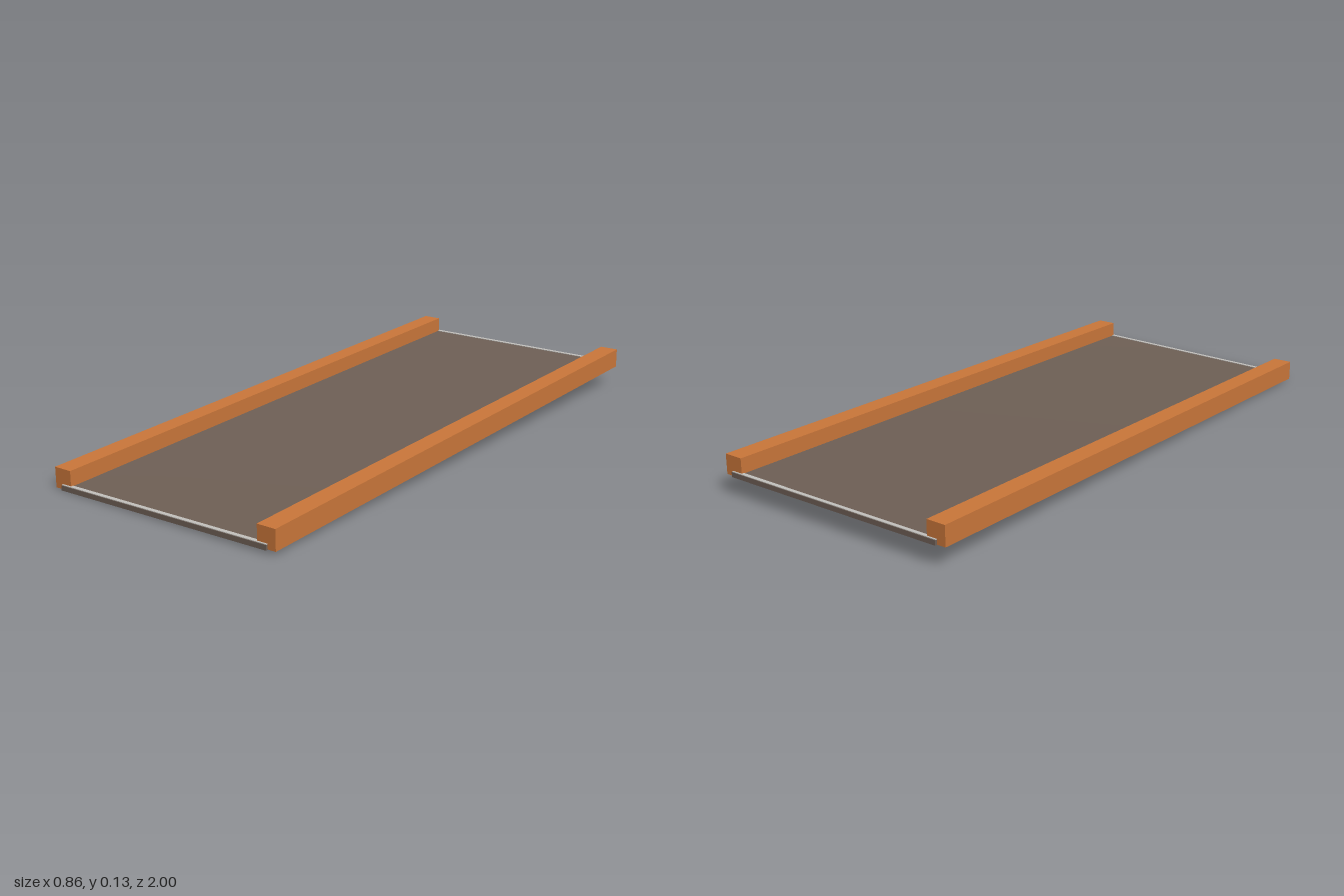
import * as THREE from 'three';

const material = (name, color) => {
  const m = new THREE.MeshStandardMaterial({ color });
  m.name = name;
  return m;
};

// Underside height of the gently twisted slope at (x, z)
function slopeY(x, z) {
  const left = 0.0335 - 0.0335 * z;
  const right = 0.0375 - 0.0275 * z;
  return THREE.MathUtils.lerp(left, right, THREE.MathUtils.clamp((x + 0.4) / 0.8, 0, 1));
}

// A box lifted onto the slope; railX keeps the cross-section level
function slopedBox(name, mat, [x0, x1], [y0, y1], [z0, z1], railX) {
  const g = new THREE.BoxGeometry(x1 - x0, y1 - y0, z1 - z0, railX === undefined ? 8 : 1, 1, 8);
  g.translate((x0 + x1) / 2, (y0 + y1) / 2, (z0 + z1) / 2);
  const p = g.attributes.position;
  for (let i = 0; i < p.count; i++) {
    p.setY(i, p.getY(i) + slopeY(railX ?? p.getX(i), p.getZ(i)));
  }
  g.computeVertexNormals();
  const mesh = new THREE.Mesh(g, mat);
  mesh.name = name;
  return mesh;
}

export function createModel() {
  const wood = material('orange wood', 0xcb773a);
  const felt = material('brown grey deck', 0x6f6056);
  const metal = material('pale grey trim', 0xc4c2be);
  const model = new THREE.Group();
  model.name = 'ramp';

  // Sloping deck panel, tucked under the rails
  model.add(slopedBox('deck', felt, [-0.4, 0.4], [0, 0.016], [-1, 1]));

  // Side rails
  for (const s of [-1, 1]) {
    const xs = s < 0 ? [-0.43, -0.365] : [0.363, 0.428];
    model.add(slopedBox(s < 0 ? 'rightRail' : 'leftRail', wood, xs, [0.001, 0.067], [-0.993, 0.993], s * 0.4));
  }

  // Thin trim strips along both deck ends
  model.add(slopedBox('frontTrim', metal, [-0.4, 0.4], [0.0155, 0.018], [0.985, 0.998]));
  model.add(slopedBox('backTrim', metal, [-0.4, 0.4], [0.0155, 0.018], [-0.998, -0.985]));
  return model;
}
